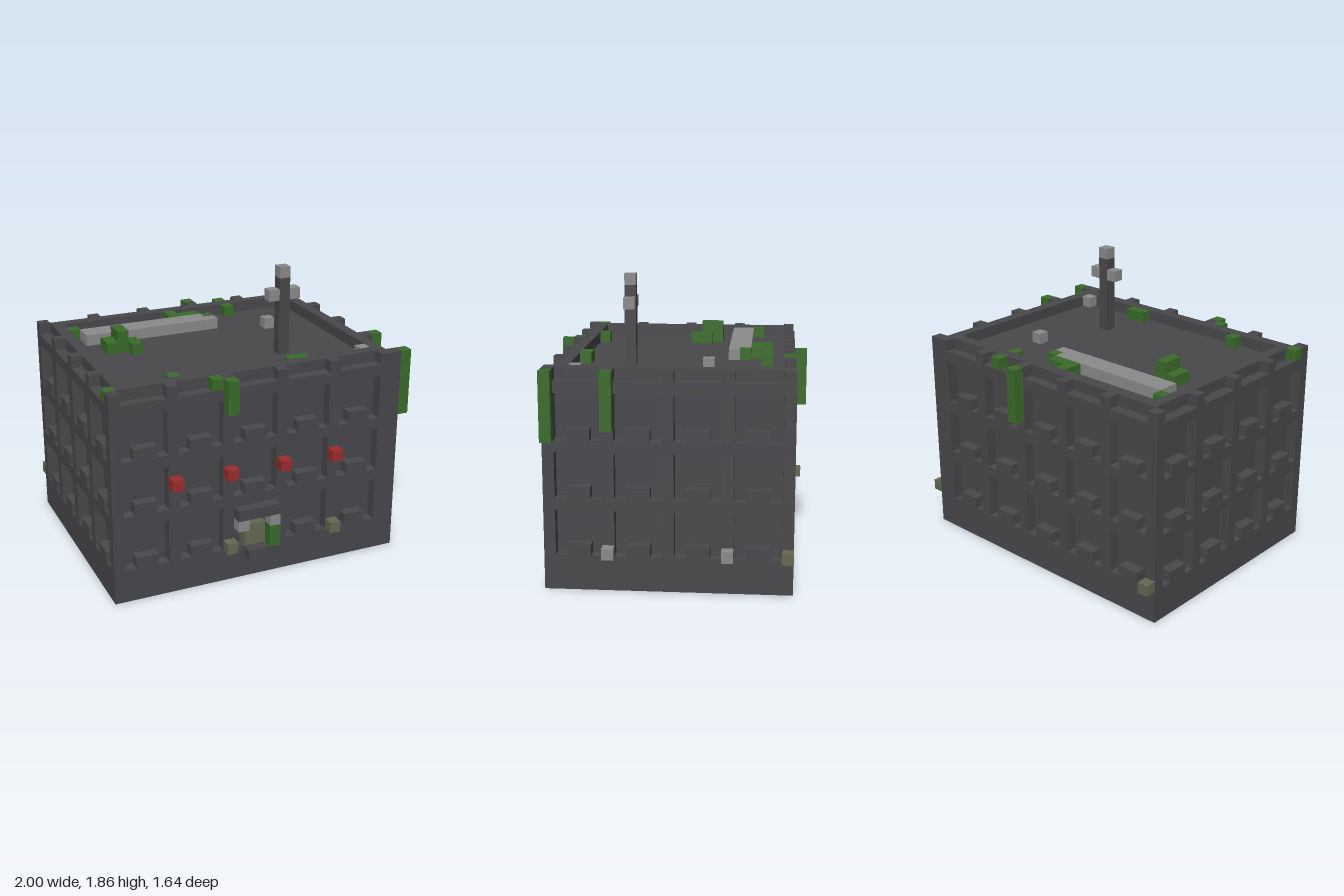
import * as THREE from 'three';

const U = 1 / 14; // edge of one block

function mat(name, color) {
  const m = new THREE.MeshStandardMaterial({ color });
  m.name = name;
  return m;
}

export function createModel() {
  const root = new THREE.Group();
  root.name = 'blockBuilding';
  const dark = mat('darkConcrete', 0x48484c);
  const grey = mat('lightGrey', 0x8a8a8a);
  const green = mat('leafGreen', 0x3a6b2a);
  const red = mat('red', 0x9a2c2c);
  const olive = mat('mossyOlive', 0x646850);

  const group = (name) => {
    const g = new THREE.Group();
    g.name = name;
    root.add(g);
    return g;
  };
  // Box from block corner (i, j, k), measured in blocks, with size w x h x d
  const box = (parent, name, material, i, j, k, w = 1, h = 1, d = 1) => {
    const m = new THREE.Mesh(new THREE.BoxGeometry(w * U, h * U, d * U), material);
    m.name = name;
    m.position.set((i + w / 2 - 14) * U, (j + h / 2) * U, (k + d / 2 - 11.5) * U);
    parent.add(m);
  };

  // Body: base, recessed core and storey bands
  const body = group('body');
  box(body, 'base', dark, 0, 0, 1, 27, 3, 21);
  box(body, 'core', dark, 1, 3, 2, 25, 14, 19);
  for (const j of [7, 12, 17]) box(body, 'floorBand', dark, 0, j, 1, 27, 1, 21);

  // Parapet around the roof
  const parapet = group('parapet');
  for (const k of [2, 20]) box(parapet, 'parapetLong', dark, 1, 18, k, 25, 1, 1);
  for (const i of [1, 25]) box(parapet, 'parapetShort', dark, i, 18, 3, 1, 1, 17);

  // Posts between the windows, rising to the top as merlons
  const posts = group('posts');
  for (const k of [1, 21])
    for (const i of [0, 5, 10, 15, 20, 25]) box(posts, 'post', dark, i, 3, k, i === 25 ? 2 : 1, 16, 1);
  for (const i of [0, 26])
    for (const k of [6, 11, 16]) box(posts, 'post', dark, i, 3, k, 1, 16, 1);

  // Window sills on each storey
  const sills = group('windowSills');
  for (const j of [3, 8, 13]) {
    for (const k of [1, 21])
      for (const i of [2, 7, 12, 17, 22])
        if (!(j === 3 && k === 21 && i === 12)) box(sills, 'sill', dark, i, j, k, 2, 1, 1);
    for (const i of [0, 26])
      for (const k of [3, 8, 13, 18]) box(sills, 'sill', dark, i, j, k, 1, 1, 2);
  }

  // Entrance
  const entrance = group('entrance');
  box(entrance, 'canopy', dark, 11, 6, 22, 4, 1, 1);
  box(entrance, 'doorstep', dark, 12, 2, 22, 2, 1, 1);
  box(entrance, 'door', olive, 12, 3, 21, 2, 2, 1);
  for (const i of [11, 14]) box(entrance, 'bracket', grey, i, 5, 22);
  box(entrance, 'doorVine', green, 14, 3, 22, 1, 2, 1);

  // Red lamps on the front
  const lamps = group('lamps');
  for (const i of [5, 10, 15, 20]) box(lamps, 'lamp', red, i, 10, 22);

  // Roof mast with cross arms
  const mast = group('mast');
  box(mast, 'pole', dark, 18, 18, 15, 1, 7, 1);
  box(mast, 'mastTip', grey, 18, 25, 15);
  for (const i of [17, 19]) box(mast, 'arm', grey, i, 23, 15);

  // Fallen slab and rubble
  const rubble = group('rubble');
  box(rubble, 'slab', grey, 3, 18, 5, 12, 1, 2);
  box(rubble, 'slabEnd', grey, 15, 18, 6);
  for (const [i, j, k] of [[20, 18, 8], [24, 18, 19], [27, 3, 6], [27, 3, 16]])
    box(rubble, 'chunk', grey, i, j, k);
  for (const [i, k] of [[10, 22], [20, 22], [0, 0], [27, 1]]) box(rubble, 'mossyChunk', olive, i, 3, k);

  // Hanging vines: [i, j, k, height]
  const vines = group('vines');
  for (const [i, j, k, h] of [
    [10, 16, 22, 3], [9, 18, 21, 1], [27, 13, 21, 6], [27, 14, 16, 5],
    [15, 14, 0, 5], [18, 18, 1, 1], [0, 18, 20, 1],
  ]) box(vines, 'vine', green, i, j, k, 1, h, 1);

  // Bushes on the roof: [i, k, width, height, depth]
  const bushes = group('bushes');
  for (const [i, k, w, h, d] of [
    [5, 8, 1, 2, 2], [4, 8, 1, 1, 2], [6, 9, 1, 1, 2], [12, 3, 1, 1, 2], [13, 4, 2, 1, 1],
    [15, 5, 1, 1, 1], [2, 4, 1, 1, 1], [18, 3, 1, 1, 1], [6, 19, 1, 1, 1], [17, 19, 2, 1, 1],
  ]) box(bushes, 'bush', green, i, 18, k, w, h, d);

  return root;
}
